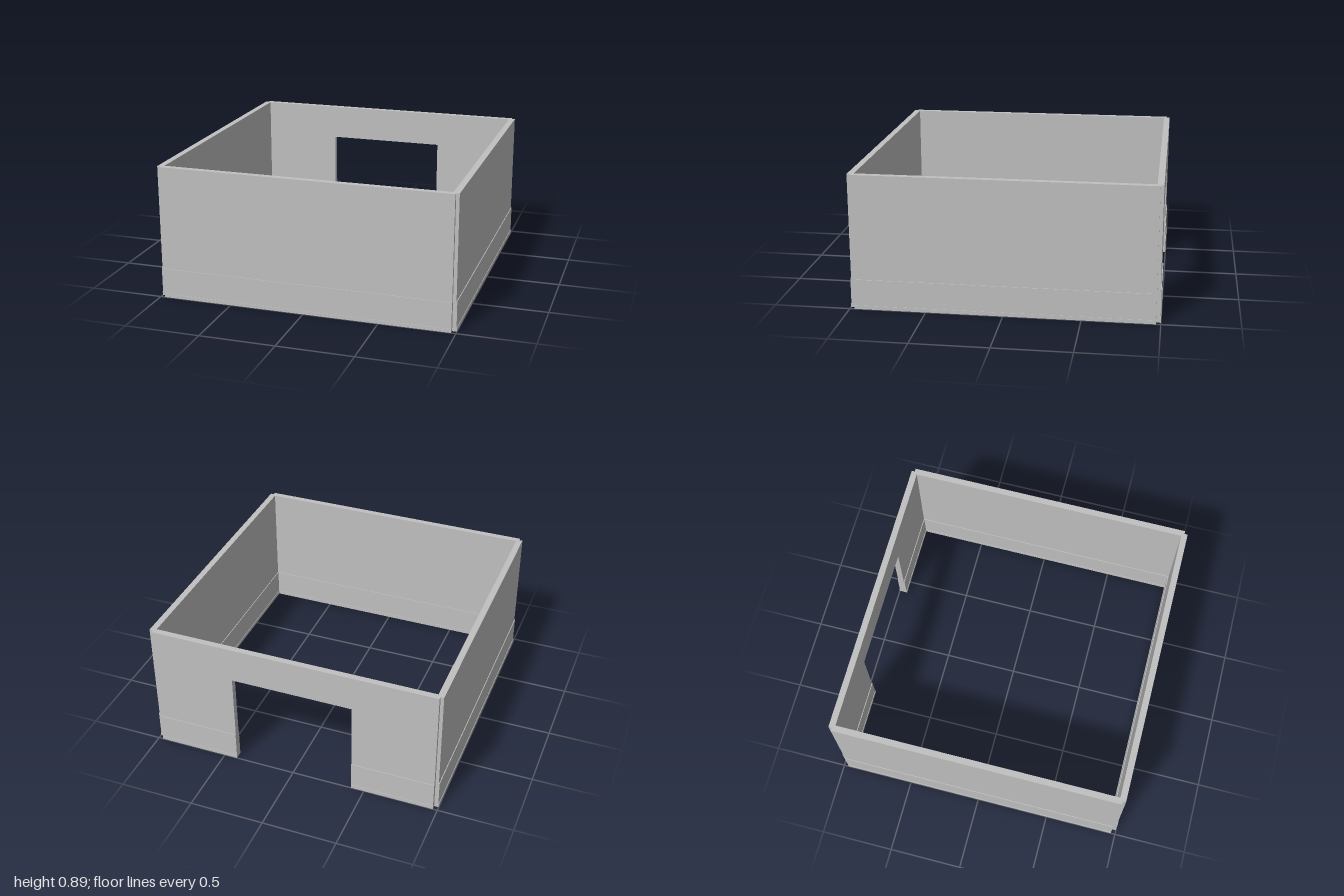
import * as THREE from 'three';

const CORNER = 0.97;   // walls stop here, leaving a small notch at each corner
const DOOR = 0.41;     // half width of the doorway

// Plan of the walls; shape +y is the back of the model
function plan(outer, inner, doorway) {
  const o = outer, c = CORNER, i = inner, d = DOOR;
  const notched = [[-c, o], [-c, c], [-o, c], [-o, -c], [-c, -c], [-c, -o],
    [c, -o], [c, -c], [o, -c], [o, c], [c, c], [c, o]];
  const hole = [[i, i], [i, -i], [-i, -i], [-i, i]];
  const toPoints = (list) => list.map(([x, y]) => new THREE.Vector2(x, y));
  if (doorway) {
    // open ring with a gap in the back wall
    return new THREE.Shape(toPoints([[-d, o], ...notched, [d, o], [d, i], ...hole, [-d, i]]));
  }
  const shape = new THREE.Shape(toPoints(notched));
  shape.holes.push(new THREE.Path(toPoints(hole)));
  return shape;
}

export function createModel() {
  const group = new THREE.Group();
  group.name = 'walledEnclosure';
  const wallGrey = new THREE.MeshStandardMaterial({ color: 0xc0c0c0 });
  wallGrey.name = 'wallGrey';

  // Stacked courses: name, bottom, top, outer half size, inner half size, doorway
  const courses = [
    ['footing', 0, 0.025, 1, 0.942, true],
    ['skirting', 0.025, 0.2, 0.997, 0.945, true],
    ['walls', 0.2, 0.655, 0.992, 0.95, true],
    ['wallsAboveDoorway', 0.655, 0.895, 0.992, 0.95, false],
  ];
  for (const [name, bottom, top, outer, inner, doorway] of courses) {
    const geometry = new THREE.ExtrudeGeometry(plan(outer, inner, doorway),
      { depth: top - bottom, bevelEnabled: false });
    geometry.rotateX(-Math.PI / 2);
    const mesh = new THREE.Mesh(geometry, wallGrey);
    mesh.name = name;
    mesh.position.y = bottom;
    group.add(mesh);
  }
  return group;
}
